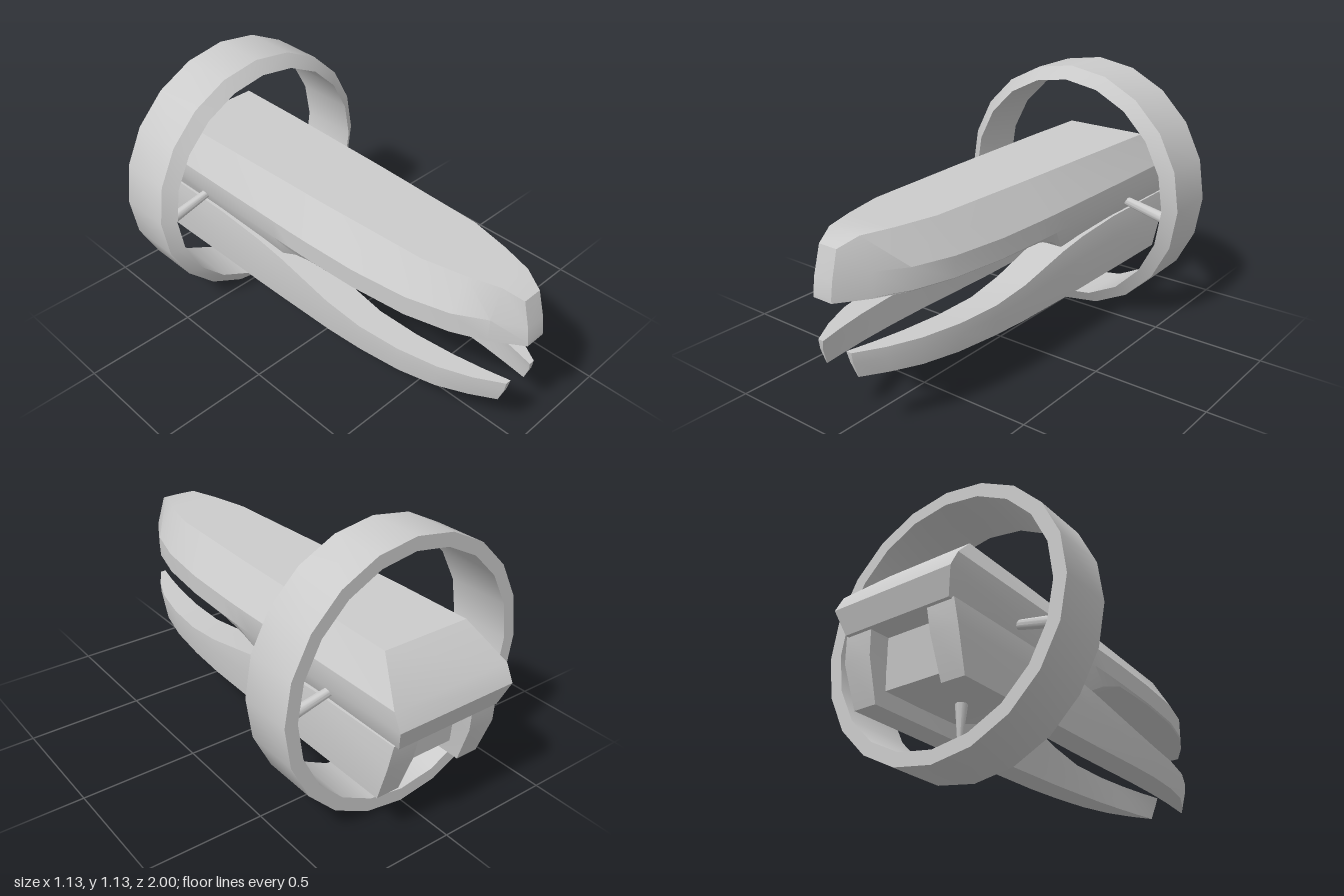
import * as THREE from 'three';
import { toCreasedNormals } from 'three/addons/utils/BufferGeometryUtils.js';

const material = new THREE.MeshStandardMaterial({ color: 0xcccccc });

function part(name, geometry) {
  const mesh = new THREE.Mesh(geometry, material);
  mesh.name = name;
  return mesh;
}

// Skin a row of rings, front to back. Each ring runs clockwise seen from the front;
// point i and point n-1-i face each other, so the end caps are strips between them.
function loft(rings, crease = 0.45) {
  const n = rings[0].length;
  const index = [];
  const quad = (a, b, c, d) => index.push(a, b, c, a, c, d);
  for (let k = 0; k < rings.length - 1; k++) {
    for (let i = 0; i < n; i++) {
      const j = (i + 1) % n;
      quad(k * n + i, k * n + j, (k + 1) * n + j, (k + 1) * n + i);
    }
  }
  const last = (rings.length - 1) * n;
  for (let i = 0; i < n / 2 - 1; i++) {
    const q = n - 1 - i;
    quad(i, q, q - 1, i + 1);
    quad(last + i, last + i + 1, last + q - 1, last + q);
  }
  const g = new THREE.BufferGeometry();
  g.setAttribute('position', new THREE.Float32BufferAttribute(rings.flat(2), 3));
  g.setIndex(index);
  return toCreasedNormals(g, crease);
}

const mirrorPoint = ([x, y, z]) => [-x, y, z];
// Close a half section (top to bottom on +x) into a symmetric ring
const symmetric = (half) => [...half, ...half.map(mirrorPoint).reverse()];

function rod(name, from, to, r0, r1, sides) {
  const a = new THREE.Vector3(...from), b = new THREE.Vector3(...to);
  const dir = b.clone().sub(a);
  const mesh = part(name, toCreasedNormals(new THREE.CylinderGeometry(r1, r0, dir.length(), sides), 0.9));
  mesh.position.copy(a).add(b).multiplyScalar(0.5);
  mesh.quaternion.setFromUnitVectors(new THREE.Vector3(0, 1, 0), dir.normalize());
  return mesh;
}

export function createModel() {
  const model = new THREE.Group();
  model.name = 'ringedShip';

  // Upper hull: z, top half-width, shoulder half-width, shoulder y, keel half-width, keel y
  const hullRows = [
    [0.88, 0.075, 0.125, 0.66, 0.125, 0.558],
    [0.75, 0.115, 0.19, 0.65, 0.185, 0.556],
    [0.57, 0.155, 0.238, 0.645, 0.232, 0.554],
    [0.32, 0.165, 0.264, 0.64, 0.258, 0.551],
    [0.08, 0.175, 0.273, 0.64, 0.265, 0.545],
    [-0.02, 0.178, 0.275, 0.64, 0.25, 0.51],
    [-0.12, 0.18, 0.275, 0.64, 0.23, 0.45],
    [-0.5, 0.19, 0.275, 0.64, 0.235, 0.47],
  ];
  const hull = [
    // Slanted nose
    [[0.043, 0.75, 0.96], [0.045, 0.64, 0.99], [0.045, 0.575, 1], [0.045, 0.56, 1]],
    ...hullRows.map(([z, wt, ws, ys, wb, yb]) => [
      [wt, 0.782, z], [ws, ys, z], [ws, Math.max(yb + 0.005, 0.556), z], [wb, yb, z],
    ]),
    // Sloping stern
    [[0.195, 0.78, -0.82], [0.272, 0.64, -0.965], [0.272, 0.57, -1], [0.24, 0.475, -0.965]],
  ];
  model.add(part('upperHull', loft(hull.map(symmetric))));

  // Lower prongs: top z, bottom z, inner top x, inner bottom x, outer x, top y, bottom y
  const prongRows = [
    [0.96, 0.93, 0.06, 0.08, 0.085, 0.365, 0.256],
    [0.85, 0.83, 0.085, 0.095, 0.15, 0.365, 0.252],
    [0.72, 0.71, 0.108, 0.11, 0.203, 0.365, 0.248],
    [0.55, 0.55, 0.127, 0.125, 0.24, 0.365, 0.242],
    [0.36, 0.36, 0.135, 0.135, 0.26, 0.37, 0.236],
    [0.18, 0.18, 0.125, 0.14, 0.267, 0.392, 0.23],
    [-0.1, -0.1, 0.1, 0.145, 0.267, 0.445, 0.224],
    [-0.25, -0.25, 0.1, 0.15, 0.267, 0.465, 0.222],
    [-0.5, -0.5, 0.1, 0.15, 0.265, 0.48, 0.22],
    [-0.95, -0.88, 0.13, 0.15, 0.262, 0.48, 0.216],
  ];
  const prong = prongRows.map(([zt, zb, xt, xb, xo, yt, yb]) => {
    const ym = yb + (yt - yb) * 0.62;
    const zm = zt + (zb - zt) * 0.2;
    const xTop = xo - Math.max(0, yt - 0.38) * 0.12;
    return [
      [xTop, yt, zt], [xo, ym, zm], [xo - Math.min(0.01, (xo - xb) * 0.2), yb, zb],
      [xb, yb, zb], [(xt + xb) / 2, ym, zm], [xt, yt, zt],
    ];
  });
  model.add(part('leftProng', loft(prong)));
  model.add(part('rightProng', loft(prong.map((ring) => ring.map(mirrorPoint).reverse()))));

  // Belly block between the prongs, with a sloping front
  const belly = [[-0.1, -0.12, 0.445], [-0.3, -0.3, 0.34], [-0.48, -0.48, 0.28], [-0.87, -0.84, 0.28]];
  model.add(part('belly', loft(belly.map(([zt, zb, yb]) =>
    symmetric([[0.15, 0.5, zt], [0.15, yb, zb]])))));

  // Ring: 20 sides, flat at the back, bevelled to a sharp front lip
  const profile = [[0.507, 0.47], [0.507, 0.745], [0.563, 0.745], [0.563, 0.51], [0.507, 0.47]]
    .map(([r, z]) => new THREE.Vector2(r, -z)).reverse();
  const ringGeometry = new THREE.LatheGeometry(profile, 20);
  ringGeometry.rotateX(Math.PI / 2);
  // Keep the faces pointing outward
  const ring = part('ring', toCreasedNormals(ringGeometry, 0.5));
  ring.material = material.clone();
  ring.material.side = THREE.DoubleSide;
  ring.position.y = 0.565;
  model.add(ring);

  // Struts joining the hull to the ring
  for (const [side, s] of [['left', 1], ['right', -1]]) {
    model.add(rod(side + 'Strut', [s * 0.22, 0.536, -0.6], [s * 0.505, 0.474, -0.6], 0.018, 0.026, 12));
  }
  model.add(rod('lowerStrut', [0, 0.3, -0.6], [0, 0.058, -0.6], 0.026, 0.002, 8));

  return model;
}
